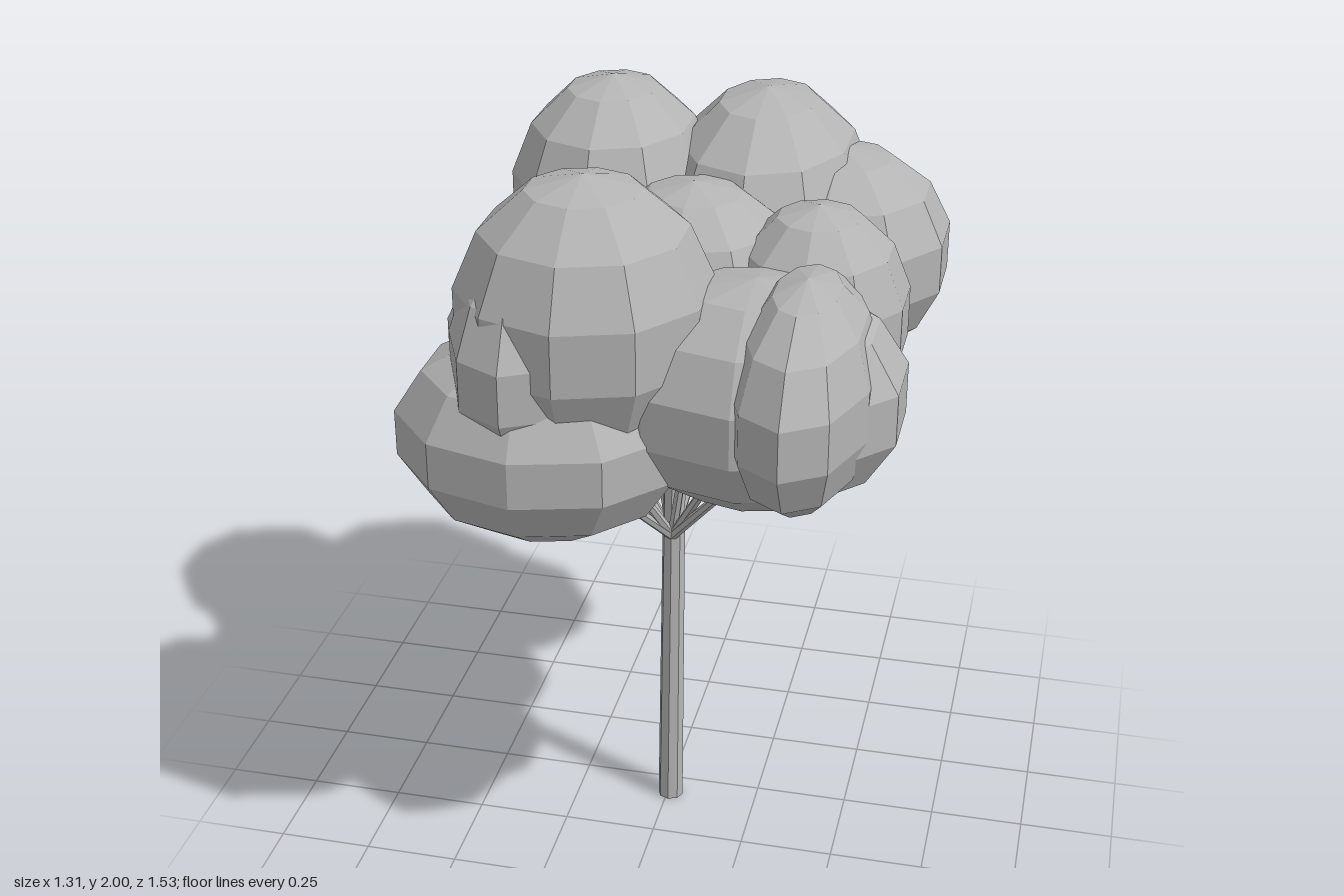
import * as THREE from 'three';

const grey = new THREE.MeshStandardMaterial({ color: 0xb4b4b4, flatShading: true });
grey.name = 'plain grey';

// Tapered limb between two points
function limb(name, from, to, r0, r1, sides) {
  const a = new THREE.Vector3(...from), b = new THREE.Vector3(...to);
  const dir = b.clone().sub(a);
  const mesh = new THREE.Mesh(new THREE.CylinderGeometry(r1, r0, dir.length(), sides), grey);
  mesh.name = name;
  mesh.position.copy(a).add(b).multiplyScalar(0.5);
  mesh.quaternion.setFromUnitVectors(new THREE.Vector3(0, 1, 0), dir.normalize());
  return mesh;
}

// Faceted leaf clump: ten sides, seven bands, corners on the z axis
function clump([x, y, z, rx, ry, rz]) {
  const g = new THREE.SphereGeometry(1, 10, 7).rotateY(Math.PI / 2).scale(rx, ry, rz);
  const mesh = new THREE.Mesh(g, grey);
  mesh.name = 'leafClump';
  mesh.position.set(x, y, z);
  return mesh;
}

export function createModel() {
  const tree = new THREE.Group();
  tree.name = 'tree';

  // Leaning trunk
  tree.add(limb('trunk', [0.01, 0.002, 0.075], [0.01, 1.4, 0.01], 0.035, 0.028, 8));

  // Thin branches fanning out into the crown
  const branches = new THREE.Group();
  branches.name = 'branches';
  const tips = [
    [0.30, 1.24, 0.32], [0.22, 1.24, 0.24], [-0.22, 1.18, 0.32], [-0.14, 1.22, 0.26],
    [0.12, 1.26, -0.22], [-0.13, 1.24, -0.18], [-0.24, 1.16, -0.08], [0.07, 1.2, 0.12],
  ];
  for (const tip of tips) branches.add(limb('branch', [0.01, 0.84, 0.055], tip, 0.014, 0.01, 6));
  tree.add(branches);

  // Crown: centre and radii of each clump
  const crown = new THREE.Group();
  crown.name = 'crown';
  const clumps = [
    [-0.22, 1.68, -0.27, 0.27, 0.32, 0.32],  // back right, top
    [0.17, 1.61, -0.37, 0.29, 0.355, 0.405], // back left, top
    [0.37, 1.54, -0.35, 0.305, 0.285, 0.31], // left, rear
    [0.38, 1.53, 0.07, 0.24, 0.29, 0.26],    // left, middle
    [0.41, 1.485, 0.41, 0.18, 0.285, 0.365], // left, front, narrow
    [0.28, 1.45, 0.36, 0.385, 0.29, 0.31],   // left, front, wide
    [0.06, 1.56, 0.03, 0.28, 0.28, 0.28],    // centre
    [-0.12, 1.63, 0.41, 0.32, 0.35, 0.32],   // front, top
    [-0.24, 1.54, 0.42, 0.2, 0.29, 0.33],    // front, top, narrow
    [-0.22, 1.335, 0.46, 0.37, 0.265, 0.31], // front, low
    [-0.39, 1.265, -0.21, 0.29, 0.28, 0.245], // right, low
    [-0.28, 1.3, 0.0, 0.25, 0.27, 0.25],     // right, middle
    [0.1, 1.41, -0.43, 0.27, 0.28, 0.335],   // back, low
  ];
  clumps.forEach((c) => crown.add(clump(c)));
  tree.add(crown);
  return tree;
}
